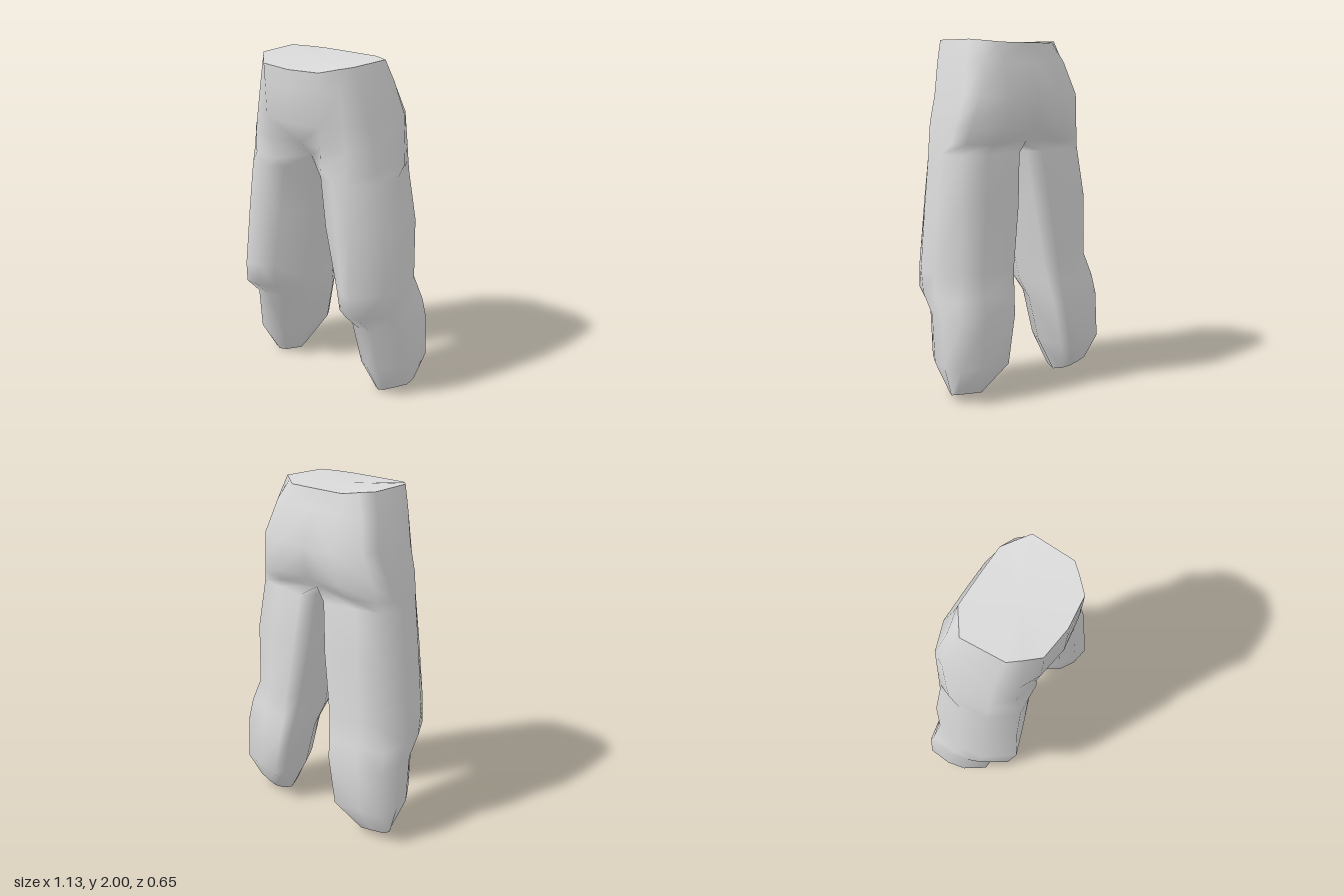
import * as THREE from 'three';
import { mergeVertices } from 'three/addons/utils/BufferGeometryUtils.js';

// Hip sections of the left half, running from front centre round the outside to back centre
const waist = [[0, 1.97, 0.328], [0.195, 1.975, 0.307], [0.265, 1.99, 0.235], [0.322, 2, 0.17],
  [0.335, 2, -0.09], [0.26, 1.993, -0.145], [0.19, 1.985, -0.195], [0, 1.985, -0.197]];
const highHip = [[0, 1.87, 0.33], [0.19, 1.87, 0.305], [0.28, 1.88, 0.24], [0.36, 1.88, 0.15],
  [0.378, 1.88, -0.12], [0.32, 1.88, -0.185], [0.2, 1.88, -0.224], [0, 1.88, -0.225]];
const hip = [[0, 1.67, 0.322], [0.19, 1.68, 0.295], [0.31, 1.69, 0.24], [0.4, 1.69, 0.13],
  [0.42, 1.7, -0.16], [0.375, 1.69, -0.235], [0.2, 1.68, -0.298], [0, 1.68, -0.3]];
const seat = [[0, 1.54, 0.235], [0.18, 1.55, 0.27], [0.33, 1.55, 0.24], [0.435, 1.54, 0.13],
  [0.46, 1.53, -0.12], [0.42, 1.52, -0.2], [0.24, 1.5, -0.275], [0, 1.5, -0.275]];
// Where the hips divide; the last two points run along the crotch seam
const crotch = [[0, 1.45, 0.14], [0.17, 1.43, 0.265], [0.32, 1.43, 0.25], [0.445, 1.43, 0.13],
  [0.475, 1.43, -0.1], [0.44, 1.43, -0.185], [0.27, 1.42, -0.215], [0, 1.43, -0.2],
  [0, 1.42, -0.08], [0, 1.42, 0.04]];

// Leg sections in unit form: across (inner -1, outer 1) and depth (back -1, front 1)
const thigh = [[-0.55, 0.82], [-0.08, 0.97], [0.33, 1], [0.87, 0.42], [1, -0.15],
  [0.86, -0.75], [0.2, -0.88], [-0.75, -1], [-1, -0.72], [-1, 0.2]];
const knee = [[-0.5, 0.72], [-0.12, 0.9], [0.28, 1], [0.87, 0.42], [1, -0.1],
  [0.74, -0.71], [0.15, -0.86], [-0.78, -1], [-1, -0.75], [-1, 0.12]];
const calf = [[-0.48, 0.82], [-0.05, 1], [0.4, 0.98], [0.87, 0.42], [1, -0.1],
  [0.94, -0.73], [0.15, -0.87], [-0.83, -1], [-1, -0.76], [-1, 0.15]];
const cuffShape = [[-0.55, 0.78], [-0.2, 1], [0.12, 0.9], [0.6, 0.25], [0.93, -0.25],
  [1, -0.75], [0.2, -0.93], [-0.55, -1], [-0.92, -0.65], [-1, -0.1]];
// Section, height, inner x, outer x, front z, back z
const legSizes = [
  [thigh, 1.37, 0.035, 0.485, 0.268, -0.24],
  [thigh, 1.08, 0.07, 0.522, 0.27, -0.27],
  [knee, 0.72, 0.135, 0.547, 0.285, -0.288],
  [calf, 0.58, 0.155, 0.555, 0.25, -0.304],
  [calf, 0.47, 0.17, 0.559, 0.14, -0.322],
  [calf, 0.2, 0.225, 0.565, 0.095, -0.325],
];
const legRings = legSizes.map(([shape, y, xi, xo, zf, zb]) => shape.map(([u, v]) => [
  (xi + xo) / 2 + u * (xo - xi) / 2, y, (zf + zb) / 2 + v * (zf - zb) / 2]));
// Tilted cuff, lowest on the inside and raised at the back
const cuff = cuffShape.map(([u, v]) => [
  0.422 + u * 0.103, 0.015 + u * 0.015 + Math.max(0, -v - 0.3) * 0.035, -0.11 + v * 0.11]);
legRings.push(cuff);

// Adds a triangle to the list on the given side (1 left, -1 right)
function triangle(out, side, a, b, c) {
  for (const p of side > 0 ? [a, b, c] : [a, c, b]) out.push(p[0] * side, p[1], p[2]);
}

// Joins two sections, the upper one first
function join(out, side, top, low, closed) {
  const n = top.length;
  for (let i = 0; i < (closed ? n : n - 1); i++) {
    const j = (i + 1) % n;
    triangle(out, side, top[i], low[i], top[j]);
    triangle(out, side, top[j], low[i], low[j]);
  }
}

function makeMesh(points, material, name) {
  let geometry = new THREE.BufferGeometry();
  geometry.setAttribute('position', new THREE.Float32BufferAttribute(points, 3));
  geometry = mergeVertices(geometry, 1e-4);
  geometry.computeVertexNormals();
  const mesh = new THREE.Mesh(geometry, material);
  mesh.name = name;
  return mesh;
}

export function createModel() {
  const group = new THREE.Group();
  group.name = 'trousers';
  const cloth = new THREE.MeshStandardMaterial({ color: 0xdadada });
  cloth.name = 'grey cloth';

  const body = [], waistCap = [];
  for (const side of [1, -1]) {
    // Hips, open along the centre line so both halves weld together
    const hips = [waist, highHip, hip, seat, crotch.slice(0, 8)];
    for (let r = 0; r < hips.length - 1; r++) join(body, side, hips[r], hips[r + 1], false);
    // Leg
    const leg = [crotch, ...legRings];
    for (let r = 0; r < leg.length - 1; r++) join(body, side, leg[r], leg[r + 1], true);
    // Flat top of the waist
    const middle = [0, 1.983, 0.05];
    for (let i = 0; i < waist.length - 1; i++) triangle(waistCap, side, middle, waist[i], waist[i + 1]);
    // Flat end of the leg
    const cuffCap = [];
    const centre = [0.422, 0.02, -0.11];
    cuff.forEach((p, i) => triangle(cuffCap, side, centre, cuff[(i + 1) % cuff.length], p));
    group.add(makeMesh(cuffCap, cloth, side > 0 ? 'leftCuffCap' : 'rightCuffCap'));
  }
  group.add(makeMesh(body, cloth, 'hipsAndLegs'));
  group.add(makeMesh(waistCap, cloth, 'waistCap'));
  return group;
}
